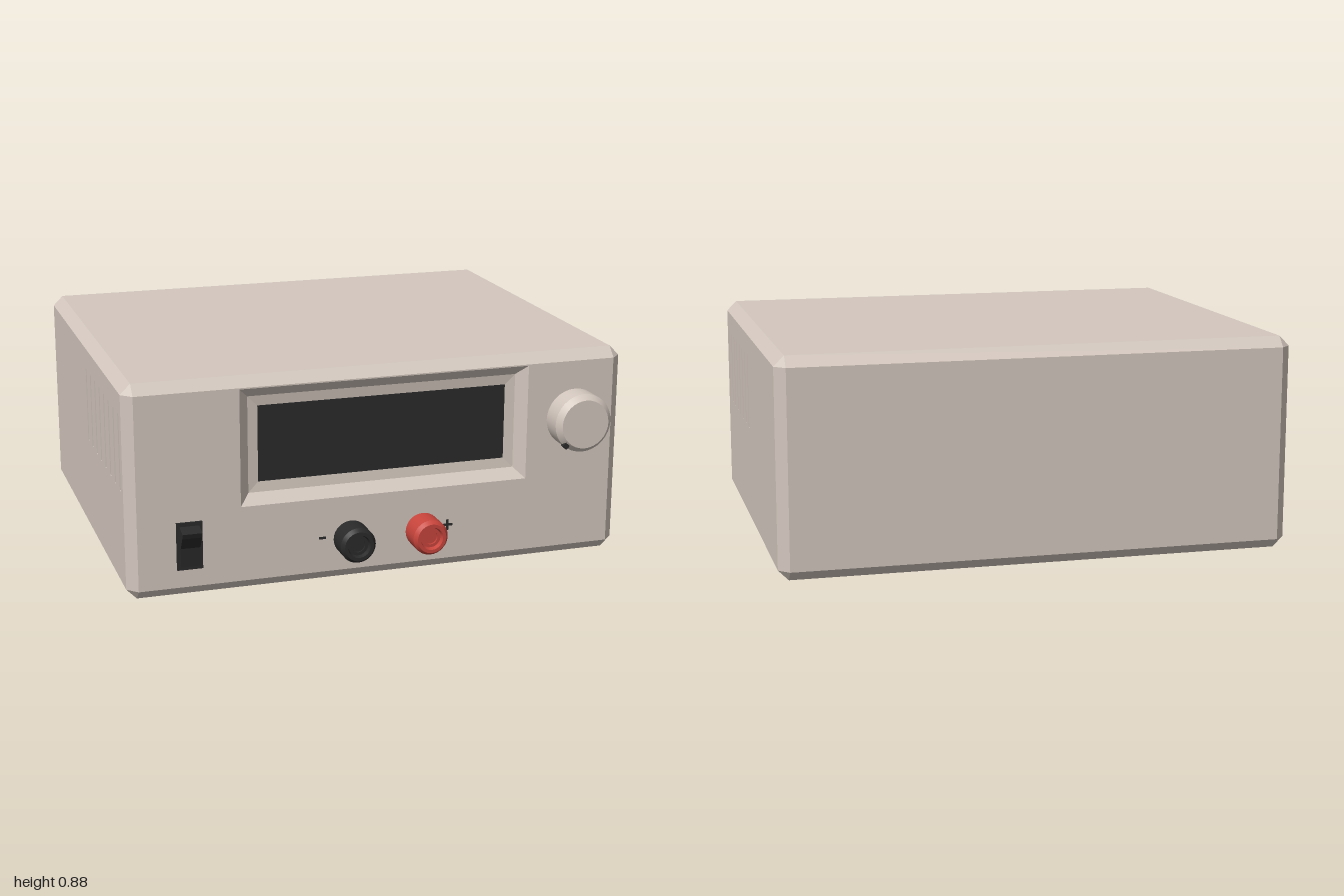
import * as THREE from 'three';
import { ConvexGeometry } from 'three/addons/geometries/ConvexGeometry.js';

const mat = (color, extra = {}) => new THREE.MeshStandardMaterial({ color, ...extra });
const FRONT = 0.735, BACK = -0.87, BOTTOM = 0.033, TOP = 0.875, C = 0.04;

// Rectangle as a list of points, anticlockwise
const rect = (x0, x1, y0, y1) => [[x0, y0], [x1, y0], [x1, y1], [x0, y1]].map(p => new THREE.Vector2(...p));

export function createModel() {
  const group = new THREE.Group();
  const beige = mat(0xd3c7be, { flatShading: true });
  const beigeThin = mat(0xd3c7be, { flatShading: true, side: THREE.DoubleSide });
  const beigeRound = mat(0xd3c7be);
  const dark = mat(0x2a2a2a, { flatShading: true });
  const darkRound = mat(0x2a2a2a);
  const red = mat(0xc8453c);

  const add = (name, geo, material, x = 0, y = 0, z = 0, parent = group) => {
    const m = new THREE.Mesh(geo, material);
    m.name = name;
    m.position.set(x, y, z);
    parent.add(m);
    return m;
  };
  const box = (name, material, x0, x1, y0, y1, z0, z1) =>
    add(name, new THREE.BoxGeometry(x1 - x0, y1 - y0, z1 - z0), material,
      (x0 + x1) / 2, (y0 + y1) / 2, (z0 + z1) / 2);

  // Chamfered case: hull of the corner points, left open at the front and the sides
  const pts = [];
  for (const i of [0, 1]) for (const j of [0, 1]) for (const k of [0, 1]) {
    const p = [i ? 1 : -1, j ? TOP : BOTTOM, k ? FRONT : BACK];
    const inward = [i ? -C : C, j ? -C : C, k ? -C : C];
    for (let a = 0; a < 3; a++)
      pts.push(new THREE.Vector3(...p.map((v, n) => (n === a ? v : v + inward[n]))));
  }
  const src = new ConvexGeometry(pts).getAttribute('position');
  const kept = [];
  const near = (a, b) => Math.abs(a - b) < 1e-4;
  for (let t = 0; t < src.count; t += 3) {
    const tri = [0, 1, 2].map(n => new THREE.Vector3().fromBufferAttribute(src, t + n));
    const open = tri.every(v => near(v.z, FRONT)) || tri.every(v => near(v.x, 1)) || tri.every(v => near(v.x, -1));
    if (!open) tri.forEach(v => kept.push(v.x, v.y, v.z));
  }
  const caseGeo = new THREE.BufferGeometry();
  caseGeo.setAttribute('position', new THREE.Float32BufferAttribute(kept, 3));
  caseGeo.computeVertexNormals();
  add('case', caseGeo, beige);

  // Front panel with the display opening
  const front = new THREE.Shape(rect(-1 + C, 1 - C, BOTTOM + C, TOP - C));
  const opening = rect(-0.56, 0.6, 0.37, 0.83);
  front.holes.push(new THREE.Path(opening));
  add('frontPanel', new THREE.ShapeGeometry(front), beige, 0, 0, FRONT);

  // Sloped bezel, then a flat ring around the screen
  const loops = [[opening, FRONT], [rect(-0.52, 0.56, 0.41, 0.79), FRONT - 0.04],
    [rect(-0.48, 0.52, 0.45, 0.75), FRONT - 0.045]];
  const ring = [], idx = [];
  loops.forEach(([l, z]) => l.forEach(p => ring.push(p.x, p.y, z)));
  for (let r = 0; r < 2; r++) for (let i = 0; i < 4; i++) {
    const a = r * 4 + i, b = r * 4 + (i + 1) % 4;
    idx.push(a, b, b + 4, a, b + 4, a + 4);
  }
  const bezel = new THREE.BufferGeometry();
  bezel.setAttribute('position', new THREE.Float32BufferAttribute(ring, 3));
  bezel.setIndex(idx);
  bezel.computeVertexNormals();
  add('displayBezel', bezel, beigeThin);
  add('screen', new THREE.PlaneGeometry(1, 0.3), dark, 0.02, 0.6, FRONT - 0.045);

  // Side panels with eight vent slots each, dark behind
  for (const s of [1, -1]) {
    const zy = (z0, z1, y0, y1) => rect(Math.min(-s * z0, -s * z1), Math.max(-s * z0, -s * z1), y0, y1);
    const side = new THREE.Shape(zy(BACK + C, FRONT - C, BOTTOM + C, TOP - C));
    for (let i = 0; i < 8; i++) {
      const z = 0.645 - i * 0.0957;
      side.holes.push(new THREE.Path(zy(z - 0.01, z + 0.01, 0.45, 0.75)));
    }
    const name = s > 0 ? 'left' : 'right';
    const panel = add(name + 'SidePanel',
      new THREE.ExtrudeGeometry(side, { depth: 0.015, bevelEnabled: false }), beige, s * 0.985);
    panel.rotation.y = s * Math.PI / 2;
    const back = add(name + 'VentBacking', new THREE.PlaneGeometry(0.74, 0.34), dark, s * 0.984, 0.6, 0.31);
    back.rotation.y = s * Math.PI / 2;
  }

  // Turned parts: [radius, height] steps with doubled points for crisp edges
  const turned = (name, steps, material, x, y) => {
    const profile = steps.flatMap(([r, h], i) =>
      i && i < steps.length - 1 ? [[r, h], [r, h]] : [[r, h]]).map(p => new THREE.Vector2(...p));
    const g = new THREE.LatheGeometry(profile, 32).toNonIndexed();
    // Each profile segment gets its own normals
    const pos = g.getAttribute('position'), nor = g.getAttribute('normal');
    for (let t = 0; t < pos.count; t += 3) {
      const v = [0, 1, 2].map(n => new THREE.Vector3().fromBufferAttribute(pos, t + n));
      const face = v[1].clone().sub(v[0]).cross(v[2].clone().sub(v[0])).normalize();
      const radial = Math.hypot(face.x, face.z);
      v.forEach((p, n) => {
        const r = Math.hypot(p.x, p.z);
        if (r < 1e-4 || radial < 1e-3) return nor.setXYZ(t + n, face.x, face.y, face.z);
        const out = Math.sign(face.x * p.x + face.z * p.z) * radial / r;
        nor.setXYZ(t + n, p.x * out, face.y, p.z * out);
      });
    }
    const m = add(name, g, material, x, y, FRONT);
    m.rotation.x = Math.PI / 2;
    return m;
  };

  // Voltage knob with its pointer
  turned('knob', [[0.117, 0], [0.117, 0.085], [0.097, 0.108], [0, 0.108]], beigeRound, 0.8, 0.605);
  const pointer = add('knobPointer', new THREE.BoxGeometry(0.026, 0.022, 0.02), dark, 0.727, 0.524, FRONT + 0.091);
  pointer.rotation.z = Math.PI / 4;

  // Output terminals
  const post = [[0.055, 0], [0.055, 0.015], [0.07, 0.03], [0.07, 0.12], [0.058, 0.137], [0.045, 0.137],
    [0.04, 0.12], [0.028, 0.12], [0.028, 0.112], [0, 0.112]];
  turned('negativeTerminal', post, darkRound, -0.133, 0.212);
  turned('positiveTerminal', post, red, 0.16, 0.212);

  // Polarity marks
  box('minusMark', dark, -0.252, -0.225, 0.207, 0.216, FRONT, FRONT + 0.003);
  box('plusMarkBar', dark, 0.252, 0.294, 0.207, 0.216, FRONT, FRONT + 0.003);
  box('plusMarkStem', dark, 0.2685, 0.2775, 0.19, 0.233, FRONT, FRONT + 0.003);

  // Power switch: plate and tilted rocker
  box('switchPlate', dark, -0.812, -0.712, 0.145, 0.333, FRONT, FRONT + 0.008);
  const rocker = new THREE.Shape([[0, 0.16], [0, 0.32], [-0.06, 0.305], [-0.052, 0.285], [-0.02, 0.235], [-0.016, 0.16]]
    .map(p => new THREE.Vector2(...p)));
  const lever = add('switchRocker',
    new THREE.ExtrudeGeometry(rocker, { depth: 0.076, bevelEnabled: false }), dark, -0.8, 0, FRONT);
  lever.rotation.y = Math.PI / 2;

  // Feet
  for (const [x0, x1, n] of [[-0.86, -0.56, 'Right'], [0.6, 0.87, 'Left']]) {
    box('front' + n + 'Foot', beige, x0, x1, 0, BOTTOM + 0.005, 0.32, 0.51);
    box('rear' + n + 'Foot', beige, x0, x1, 0.008, BOTTOM + 0.005, -0.56, -0.33);
  }
  return group;
}
